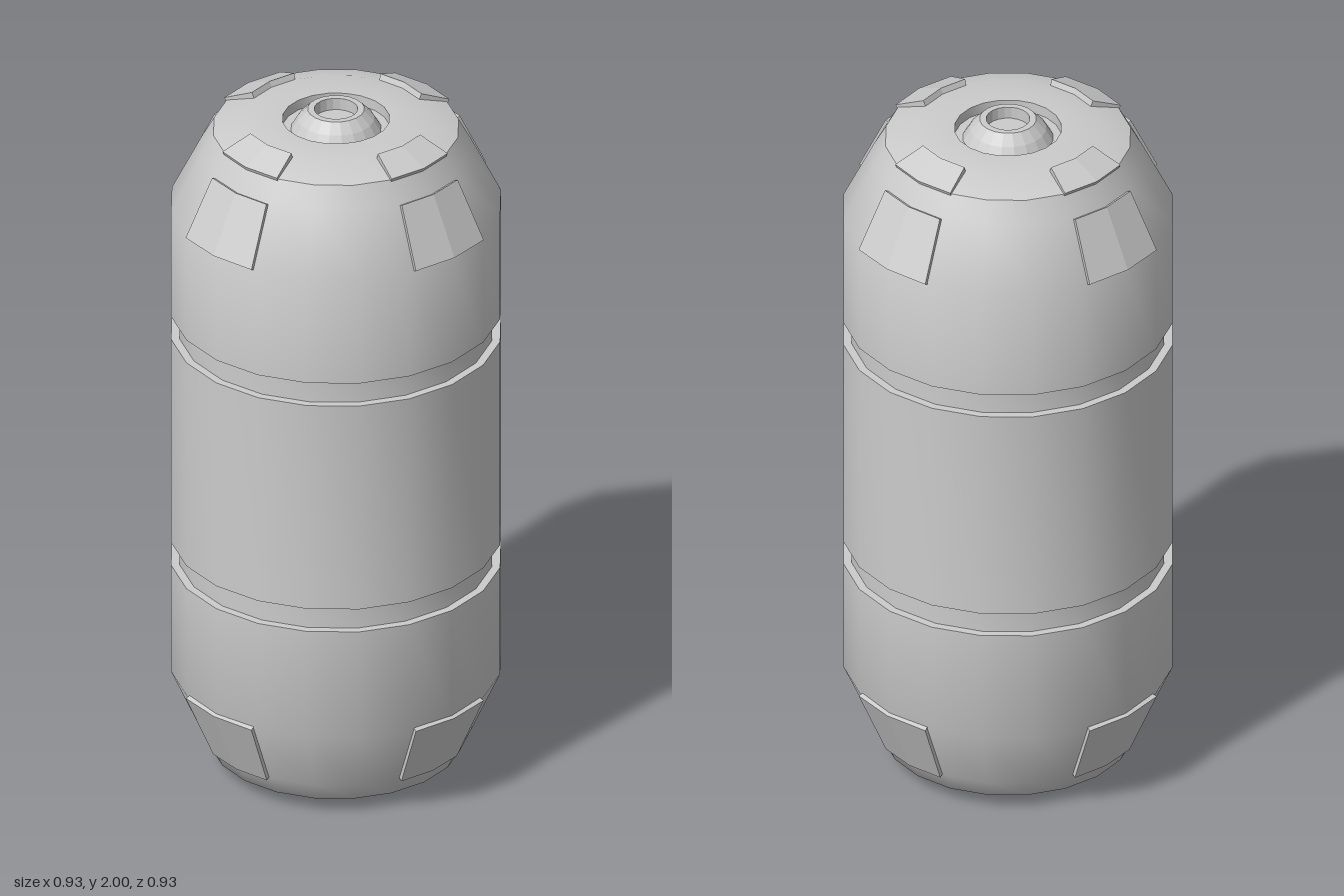
import * as THREE from 'three';
import { toCreasedNormals } from 'three/addons/utils/BufferGeometryUtils.js';

const SIDES = 20;
const smoothGrey = new THREE.MeshStandardMaterial({ color: 0xcccccc });
const flatGrey = new THREE.MeshStandardMaterial({ color: 0xcccccc, flatShading: true });

// Turned part from [radius, height] pairs, running from bottom to top
function turned(name, profile, crease, material) {
  const points = profile.map(([r, y]) => new THREE.Vector2(r, y));
  const geometry = toCreasedNormals(new THREE.LatheGeometry(points, SIDES), crease);
  const mesh = new THREE.Mesh(geometry, material);
  mesh.name = name;
  return mesh;
}

// Raised plate wrapped around the shell: a four-cornered section swept through three angles.
// low and high are the [radius, height] ends of its outer face.
function plateGeometry(low, high, halfAngle, depth) {
  const dr = high[0] - low[0], dy = high[1] - low[1], len = Math.hypot(dr, dy);
  const inR = -dy / len * depth, inY = dr / len * depth;
  const section = [low, high, [high[0] + inR, high[1] + inY], [low[0] + inR, low[1] + inY]];
  const positions = [], index = [];
  for (const a of [-halfAngle, 0, halfAngle]) {
    for (const [r, y] of section) positions.push(r * Math.sin(a), y, r * Math.cos(a));
  }
  for (let s = 0; s < 2; s++) {
    for (let k = 0; k < 4; k++) {
      const a = s * 4 + k, b = s * 4 + (k + 1) % 4;
      index.push(a, a + 4, b + 4, a, b + 4, b);
    }
  }
  index.push(0, 1, 2, 0, 2, 3, 8, 10, 9, 8, 11, 10); // end faces
  const geometry = new THREE.BufferGeometry();
  geometry.setAttribute('position', new THREE.Float32BufferAttribute(positions, 3));
  geometry.setIndex(index);
  geometry.computeVertexNormals();
  return geometry;
}

export function createModel() {
  const model = new THREE.Group();
  model.name = 'capsuleCanister';

  // Shell with two recessed bands and a round socket in the top
  model.add(turned('shell', [
    [0, 0], [0.26, 0], [0.345, 0.045], [0.37, 0.1], [0.455, 0.29],
    [0.455, 0.62], [0.432, 0.62], [0.432, 0.69], [0.455, 0.69],
    [0.455, 1.32], [0.432, 1.32], [0.432, 1.39], [0.455, 1.39],
    [0.455, 1.715], [0.37, 1.885], [0.338, 1.942], [0.25, 1.97],
    [0.147, 1.97], [0.147, 1.94], [0, 1.94],
  ], 0.75, smoothGrey));

  // Faceted valve cap with a hollow centre
  model.add(turned('valveCap', [
    [0.125, 1.938], [0.105, 1.972], [0.078, 2], [0.06, 2], [0.06, 1.965], [0, 1.965],
  ], 0.1, flatGrey));

  // Three rows of plates, repeated on all four sides
  const rows = [
    ['lowerPlate', plateGeometry([0.38, 0.095], [0.465, 0.29], 0.281, 0.03)],
    ['upperPlate', plateGeometry([0.465, 1.717], [0.383, 1.882], 0.281, 0.03)],
    ['topPlate', plateGeometry([0.345, 1.948], [0.26, 1.985], Math.PI / 10, 0.025)],
  ];
  for (const [name, geometry] of rows) {
    for (let i = 0; i < 4; i++) {
      const plate = new THREE.Mesh(geometry, flatGrey);
      plate.name = name + (i + 1);
      plate.rotation.y = i * Math.PI / 2;
      model.add(plate);
    }
  }
  return model;
}
